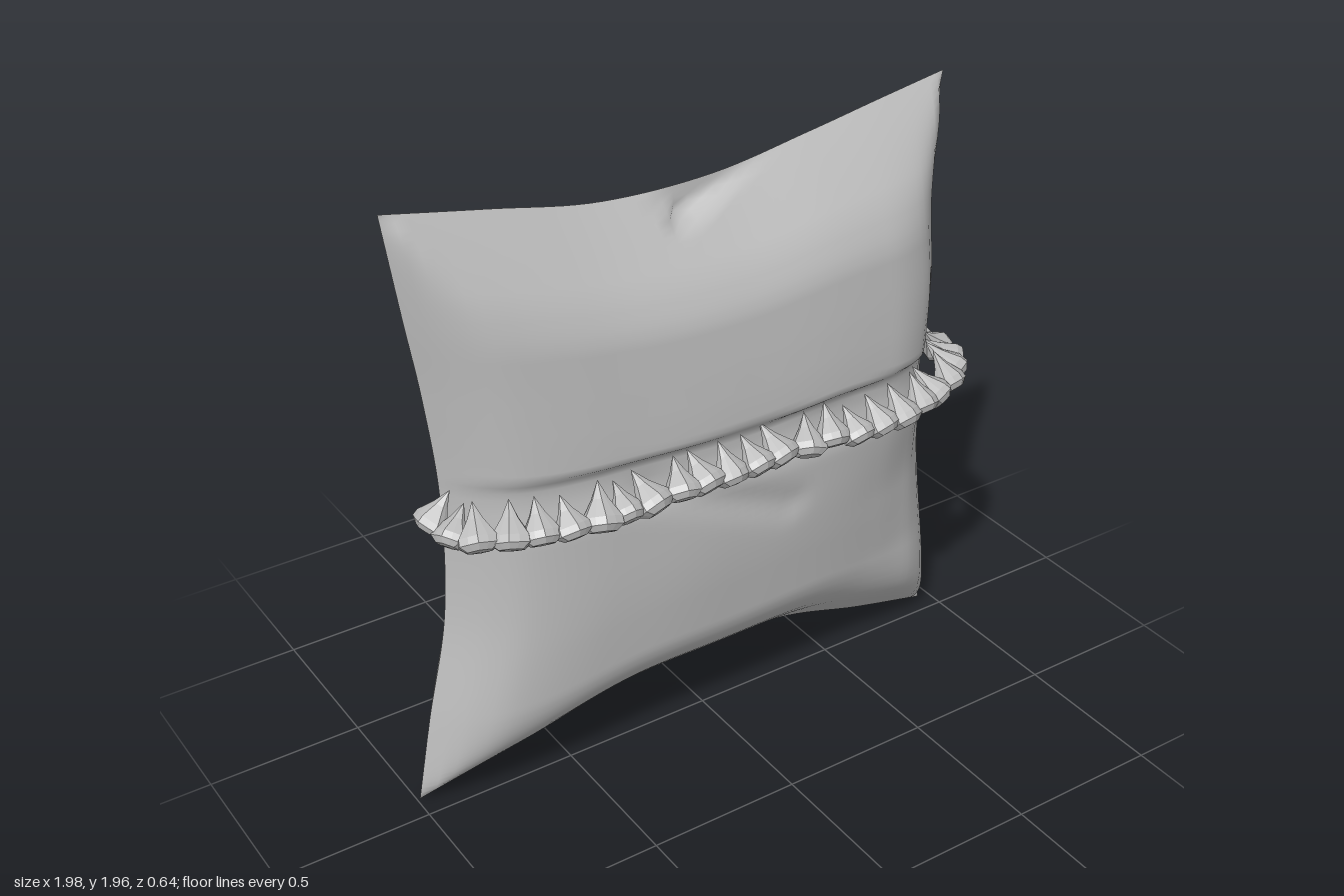
import * as THREE from 'three';

const cloth = new THREE.MeshStandardMaterial({ color: 0xbcbcbc });
cloth.name = 'grey cloth';

const SEAM_Z = -0.07;
const { smoothstep, mapLinear, clamp } = THREE.MathUtils;
const curve = (pts) => new THREE.CatmullRomCurve3(pts.map(([x, y]) => new THREE.Vector3(x, y, 0)));

// Seam outline: four sagging edges between the pulled-out corners
const bottomEdge = curve([[-0.995, 0.015], [-0.7, 0.08], [-0.33, 0.165], [0, 0.17], [0.36, 0.155], [0.68, 0.07], [0.96, 0.005]]);
const topEdge = curve([[-0.965, 1.965], [-0.64, 1.9], [-0.3, 1.835], [0.08, 1.83], [0.42, 1.88], [0.68, 1.925], [0.92, 1.965]]);
const leftEdge = curve([[-0.995, 0.015], [-0.94, 0.3], [-0.865, 0.65], [-0.85, 1.05], [-0.88, 1.38], [-0.92, 1.65], [-0.965, 1.965]]);
const rightEdge = curve([[0.96, 0.005], [0.93, 0.33], [0.89, 0.65], [0.87, 1.0], [0.885, 1.35], [0.87, 1.63], [0.92, 1.965]]);

// Blend the four edges into one panel point
function panelPoint(u, v) {
  const p = new THREE.Vector3();
  const add = (q, w) => p.addScaledVector(q, w);
  add(bottomEdge.getPoint(u), 1 - v);
  add(topEdge.getPoint(u), v);
  add(leftEdge.getPoint(v), 1 - u);
  add(rightEdge.getPoint(v), u);
  add(bottomEdge.getPoint(0), -(1 - u) * (1 - v));
  add(bottomEdge.getPoint(1), -u * (1 - v));
  add(topEdge.getPoint(0), -(1 - u) * v);
  add(topEdge.getPoint(1), -u * v);
  return p;
}

// Cushion sections as [position, fullness]
const frontAcross = [[0, 0], [0.06, 0.55], [0.19, 0.82], [0.4, 0.98], [0.6, 1], [0.85, 0.92], [0.96, 0.55], [1, 0]];
const frontUp = [[0, 0], [0.115, 0.82], [0.32, 0.98], [0.56, 1.01], [0.83, 0.85], [1, 0]];
const backAcross = [[0, 0], [0.06, 0.62], [0.16, 0.88], [0.3, 0.97], [0.5, 1], [0.7, 0.97], [0.84, 0.88], [0.94, 0.62], [1, 0]];
const backUp = [[0, 0], [0.115, 0.8], [0.53, 1.01], [0.87, 0.69], [1, 0]];

function linear(table, t) {
  const i = Math.max(1, table.findIndex(([x]) => x >= t));
  const [x0, y0] = table[i - 1], [x1, y1] = table[i];
  return mapLinear(t, x0, x1, y0, y1);
}

// Section with its bends rounded over a short span
function sample(table, t) {
  const w = Math.min(0.05, t, 1 - t);
  let sum = 0;
  for (let k = -2; k <= 2; k++) sum += linear(table, clamp(t + (k * w) / 2, 0, 1));
  return sum / 5;
}

// Soft minimum of both sections, leaving ridges that run to the corners
function fullness(across, up, u, v) {
  const a = sample(across, u), b = sample(up, v), ab = a * b;
  return ab <= 0 ? 0 : ab / Math.sqrt(a * a + b * b - ab * ab);
}

// Gaussian crease along a line from a to b
function crease(x, y, [ax, ay], [bx, by], width) {
  const dx = bx - ax, dy = by - ay;
  const k = clamp(((x - ax) * dx + (y - ay) * dy) / (dx * dx + dy * dy), 0, 1);
  const d = Math.hypot(x - ax - k * dx, y - ay - k * dy);
  return Math.exp(-((d / width) ** 2));
}

function frontDepth(x, y, u, v) {
  const p = fullness(frontAcross, frontUp, u, v);
  let d = 0.265;
  d -= 0.015 * crease(x, y, [-0.3, 1.0], [0.2, 0.8], 0.05);
  d -= 0.06 * crease(x, y, [0.75, 0.65], [0.75, 0.45], 0.25); // slack lower corner
  d -= 0.03 * (1 - smoothstep(y, 1.1, 1.13)) * smoothstep(y, 0.92, 1.06); // step behind the trim
  // Triangular tuck folded into the top edge
  const aboveFold = y - 1.7 - (x + 0.07) * 0.38;
  const besideFold = x + 0.07 + (y - 1.7) * 0.57;
  d *= 1 - 0.85 * smoothstep(aboveFold, 0, 0.05) * smoothstep(besideFold, 0, 0.04);
  return d * p;
}

const backDepth = (x, y, u, v) => 0.26 * fullness(backAcross, backUp, u, v);

function panel(depth, side) {
  const nu = 50, nv = 90, pos = [], idx = [];
  for (let j = 0; j <= nv; j++) {
    for (let i = 0; i <= nu; i++) {
      const u = i / nu, v = j / nv, p = panelPoint(u, v);
      pos.push(p.x, p.y, SEAM_Z + side * depth(p.x, p.y, u, v));
      if (i < nu && j < nv) {
        const a = j * (nu + 1) + i, b = a + 1, c = b + nu + 1, d = a + nu + 1;
        if (side > 0) idx.push(a, b, c, a, c, d);
        else idx.push(a, c, b, a, d, c);
      }
    }
  }
  const g = new THREE.BufferGeometry();
  g.setAttribute('position', new THREE.Float32BufferAttribute(pos, 3));
  g.setIndex(idx);
  g.computeVertexNormals();
  return g;
}

// Faceted fan shell with a rounded mouth; the tip is up
function shellGeometry() {
  const profile = [[0, -0.012], [0.03, -0.01], [0.048, 0.004], [0.046, 0.022], [0.02, 0.062], [0, 0.105]];
  const g = new THREE.LatheGeometry(profile.map(([r, y]) => new THREE.Vector2(r, y)), 12);
  const p = g.attributes.position;
  for (let i = 0; i < p.count; i++) {
    const a = Math.atan2(p.getX(i), p.getZ(i));
    const rib = 1 + 0.05 * Math.cos(6 * a);
    p.setXYZ(i, p.getX(i) * rib, p.getY(i), p.getZ(i) * rib * 0.8);
  }
  const flat = g.toNonIndexed();
  flat.computeVertexNormals();
  return flat;
}

// Row of shells wrapping round the front from side to side
function shellTrim() {
  const trim = new THREE.Group();
  trim.name = 'shellTrim';
  const path = new THREE.CatmullRomCurve3([
    [-0.925, 0.0], [-0.89, 0.12], [-0.79, 0.19], [-0.62, 0.245], [-0.3, 0.268], [0, 0.262],
    [0.3, 0.268], [0.5, 0.285], [0.7, 0.24], [0.83, 0.18], [0.935, 0.07], [0.95, -0.03], [0.925, -0.12],
  ].map(([x, z]) => new THREE.Vector3(x, 0, z)));
  const geo = shellGeometry(), count = 26;
  const noise = (n) => { const s = Math.sin(n * 12.9898) * 43758.5453; return (s - Math.floor(s)) * 2 - 1; };
  for (let i = 0; i < count; i++) {
    const k = i / (count - 1), p = path.getPointAt(k), t = path.getTangentAt(k);
    const shell = new THREE.Mesh(geo, cloth);
    shell.name = 'shell';
    shell.position.set(p.x, 1.018 + 0.008 * noise(i + 1), p.z + 0.008 * noise(i + 50));
    shell.rotation.order = 'YXZ';
    shell.rotation.set(-0.75 + 0.12 * noise(i + 90), Math.atan2(-t.z, t.x) + 0.2 * noise(i + 130), 0.15 * noise(i + 170));
    shell.scale.setScalar(1.2 + 0.1 * noise(i + 210) + (k > 0.85 ? 0.1 : 0));
    trim.add(shell);
  }
  return trim;
}

export function createModel() {
  const model = new THREE.Group();
  model.name = 'pillow';
  const front = new THREE.Mesh(panel(frontDepth, 1), cloth);
  front.name = 'frontPanel';
  const back = new THREE.Mesh(panel(backDepth, -1), cloth);
  back.name = 'backPanel';
  model.add(front, back, shellTrim());
  return model;
}
